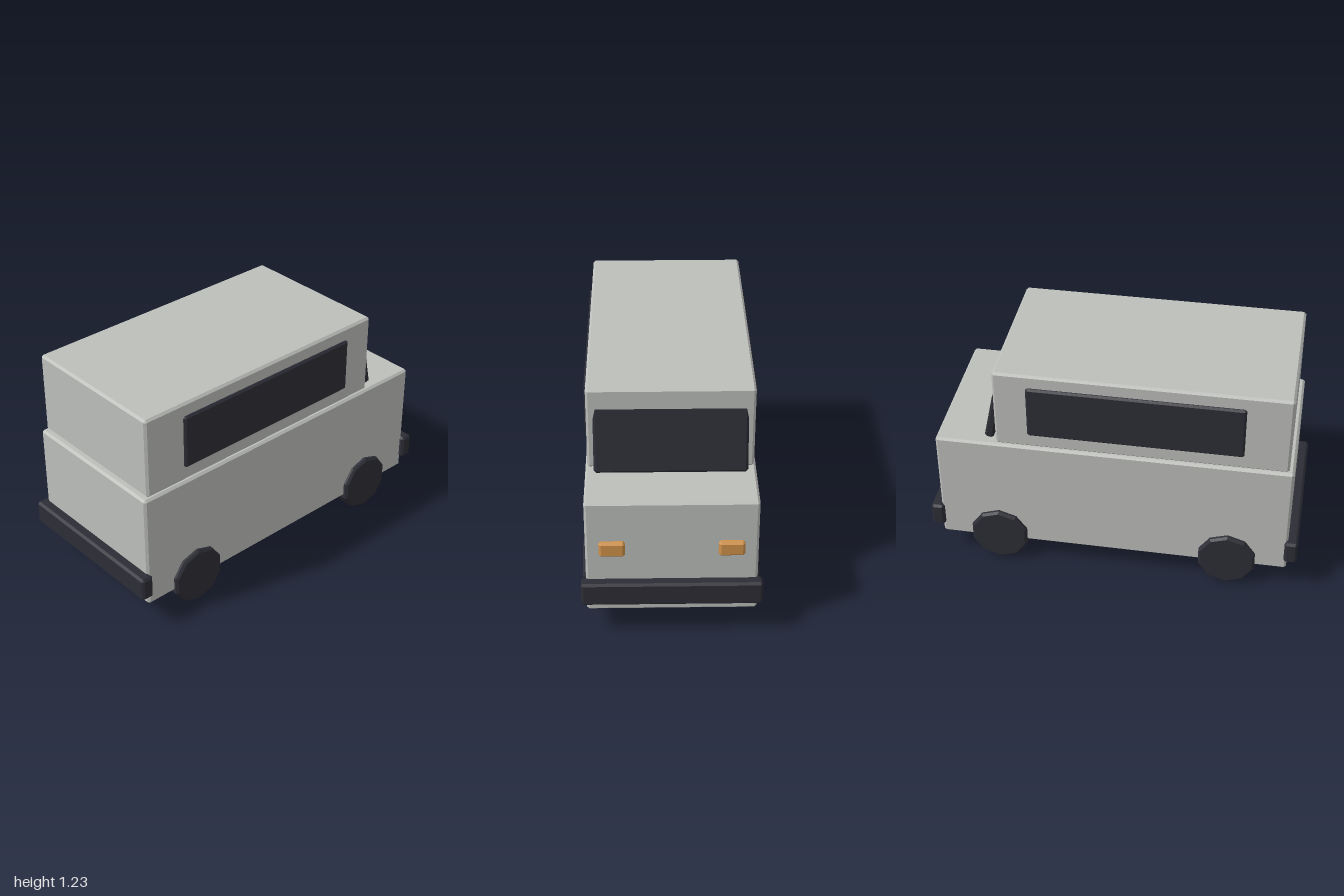
import * as THREE from 'three';
import { ConvexGeometry } from 'three/addons/geometries/ConvexGeometry.js';

const paint = (name, color) => {
  const m = new THREE.MeshStandardMaterial({ color });
  m.name = name;
  return m;
};

// Box with all edges chamfered by b, centred on the origin
function chamferBox(w, h, d, b) {
  const pts = [];
  const [x, y, z] = [w / 2, h / 2, d / 2];
  for (const i of [-1, 1]) for (const j of [-1, 1]) for (const k of [-1, 1]) {
    pts.push(
      new THREE.Vector3(i * x, j * (y - b), k * (z - b)),
      new THREE.Vector3(i * (x - b), j * y, k * (z - b)),
      new THREE.Vector3(i * (x - b), j * (y - b), k * z));
  }
  return new ConvexGeometry(pts);
}

// Ten-sided wheel with chamfered rims, axle along z, a vertex at the bottom
function wheelGeometry(r, width, b) {
  const pts = [];
  for (const [rad, z] of [[r - b, width / 2], [r, width / 2 - b], [r, b - width / 2], [r - b, -width / 2]]) {
    for (let i = 0; i < 10; i++) {
      const a = (i / 10) * Math.PI * 2;
      pts.push(new THREE.Vector3(rad * Math.sin(a), rad * Math.cos(a), z));
    }
  }
  return new ConvexGeometry(pts);
}

export function createModel() {
  const car = new THREE.Group();
  car.name = 'boxyCar';
  const grey = paint('bodyGrey', 0xbdbfbb);
  const dark = paint('darkTrim', 0x2d2d36);
  const amber = paint('lampAmber', 0xd0924a);

  const add = (name, geometry, material, x, y, z) => {
    const mesh = new THREE.Mesh(geometry, material);
    mesh.name = name;
    mesh.position.set(x, y, z);
    car.add(mesh);
    return mesh;
  };
  // Chamfered block given by its extents
  const block = (name, material, [x0, x1], [y0, y1], [z0, z1], b) =>
    add(name, chamferBox(x1 - x0, y1 - y0, z1 - z0, b), material,
      (x0 + x1) / 2, (y0 + y1) / 2, (z0 + z1) / 2);

  // Lower body and cabin
  block('body', grey, [-0.947, 0.947], [0.125, 0.776], [-0.432, 0.432], 0.012);
  block('cabin', grey, [-0.92, 0.62], [0.776, 1.225], [-0.422, 0.422], 0.012);

  // Raked windscreen, its top sunk into the cabin
  const screen = add('windscreen', chamferBox(0.048, 0.41, 0.776, 0.012), dark, 0.624, 0.98, 0);
  screen.rotation.z = 0.208;

  // Bumpers at both ends
  block('frontBumper', dark, [0.93, 1], [0.19, 0.322], [-0.457, 0.457], 0.012);
  block('rearBumper', dark, [-1, -0.93], [0.19, 0.322], [-0.457, 0.457], 0.012);

  for (const s of [1, -1]) {
    const side = s > 0 ? 'near' : 'far';
    // Side window
    const window = chamferBox(1.13, 0.297, 0.04, 0.01);
    add(side + 'SideWindow', window, dark, -0.12, 1.004, s * 0.417);
    // Headlamp
    add(side + 'Headlamp', chamferBox(0.05, 0.084, 0.132, 0.012), amber, 0.946, 0.511, s * 0.298);
    // Wheels
    for (const [end, x] of [['Front', 0.625], ['Rear', -0.625]]) {
      add(side + end + 'Wheel', wheelGeometry(0.16, 0.103, 0.012), dark, x, 0.16, s * 0.4055);
    }
  }
  return car;
}
